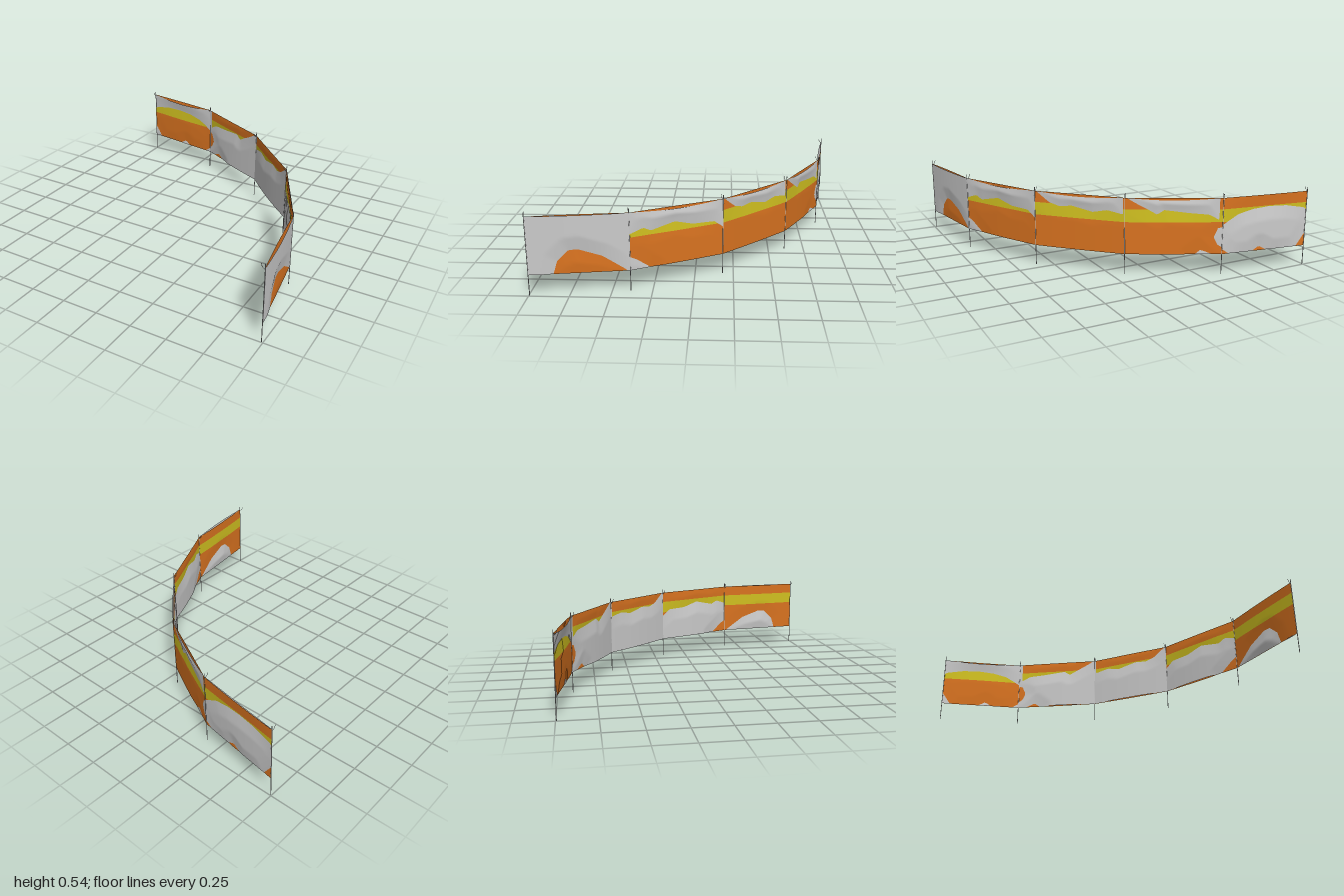
import * as THREE from 'three';

// Post positions (x, z) along the curve
const POSTS = [[-0.995, -0.995], [-0.395, -0.9], [0.165, -0.615], [0.605, -0.18], [0.895, 0.385], [0.99, 0.995]];
const BOTTOM = 0.135, TOP = 0.51, BAND_LOW = 0.35, BAND_HIGH = 0.435;

// Per panel: outlines (u along the panel, y) where the grey sheet billows to the outer side
const BILLOWS = [
  [[[-.05, .27], [-.05, .36], [.03, .40], [.25, .425], [.46, .43], [.65, .42], [.82, .395], [.92, .36],
    [1.05, .31], [1.05, .19], [.92, .135], [.9, .12], [.68, .12], [.56, .165], [.43, .12], [.12, .12]]],
  [[[.04, .54], [.04, .365], [.14, .40], [.34, .41], [.6, .43], [.67, .40], [.98, .51], [.98, .54]],
    [[-.05, .33], [.05, .31], [.09, .25], [.05, .2], [-.05, .16]],
    [[.04, .12], [.22, .165], [.31, .12]]],
  [[[.02, .54], [.02, .4], [.19, .42], [.35, .4], [.58, .43], [.72, .42], [.83, .44], [.98, .51], [.98, .54]]],
  [[[-.05, .54], [-.05, .3], [.1, .37], [.33, .375], [.53, .41], [.78, .375], [.86, .4], [1.05, .36], [1.05, .54]],
    [[1.05, .24], [.93, .2], [.76, .12], [1.05, .12]]],
  [[[-.1, .05], [1.1, .05], [1.1, .6], [-.1, .6]],
    [[.02, .12], [.03, .14], [.27, .24], [.51, .29], [.6, .285], [.71, .22], [.76, .12]]],
];

// Signed distance to the outlines, positive inside (even-odd rule)
function insideDistance(polys, u, y, len) {
  let inside = false, best = Infinity;
  for (const poly of polys) {
    poly.forEach(([au, ay], k) => {
      const [bu, by] = poly[(k + 1) % poly.length];
      if ((ay > y) !== (by > y) && u < au + (bu - au) * (y - ay) / (by - ay)) inside = !inside;
      const ex = (bu - au) * len, ey = by - ay, px = (u - au) * len, py = y - ay;
      const t = THREE.MathUtils.clamp((px * ex + py * ey) / (ex * ex + ey * ey), 0, 1);
      best = Math.min(best, Math.hypot(px - t * ex, py - t * ey));
    });
  }
  return inside ? best : -best;
}

// A cloth strip of panel i between two heights; side sets how it follows the billow
function clothStrip(i, y0, y1, rows, side, sag) {
  const [ax, az] = POSTS[i], [bx, bz] = POSTS[i + 1];
  const dx = bx - ax, dz = bz - az, len = Math.hypot(dx, dz);
  const geo = new THREE.PlaneGeometry(1, 1, 40, rows);
  const pos = geo.attributes.position;
  for (let k = 0; k < pos.count; k++) {
    const u = pos.getX(k) + 0.5, y = y0 + (pos.getY(k) + 0.5) * (y1 - y0);
    const arch = Math.sin(Math.PI * u);
    const d = THREE.MathUtils.clamp(insideDistance(BILLOWS[i], u, y, len) * 0.16, -0.014, 0.014);
    const off = side * d * (0.15 + 0.85 * arch);
    const drop = sag * arch * Math.max(0, (y - BAND_HIGH) / (TOP - BAND_HIGH));
    pos.setXYZ(k, ax + dx * u + off * dz / len, y - drop, az + dz * u - off * dx / len);
  }
  geo.computeVertexNormals();
  return geo;
}

export function createModel() {
  const group = new THREE.Group();
  const cloth = (color) => new THREE.MeshStandardMaterial({ color, side: THREE.DoubleSide });
  const grey = cloth(0xcccccc), orange = cloth(0xd97320), yellow = cloth(0xd0c020);
  const metal = new THREE.MeshStandardMaterial({ color: 0xcccccc });
  const add = (parent, name, geo, mat) => {
    const mesh = new THREE.Mesh(geo, mat);
    mesh.name = name;
    parent.add(mesh);
    return mesh;
  };

  // Fence panels: a striped sheet interwoven with a grey backing sheet
  for (let i = 0; i < POSTS.length - 1; i++) {
    const panel = new THREE.Group();
    panel.name = `panel${i + 1}`;
    add(panel, 'lowerStripe', clothStrip(i, BOTTOM, BAND_LOW, 16, -0.4, 0), orange);
    add(panel, 'middleStripe', clothStrip(i, BAND_LOW, BAND_HIGH, 8, -0.4, 0), yellow);
    add(panel, 'upperStripe', clothStrip(i, BAND_HIGH, TOP, 6, -0.4, 0), orange);
    add(panel, 'backingSheet', clothStrip(i, BOTTOM, TOP, 30, 1, i < 4 ? 0.016 : 0), grey);
    group.add(panel);
  }

  // Thin posts, each with a small hook pointing to the inner side
  const hookCurve = new THREE.CatmullRomCurve3([
    [0, 0.5], [0.01, 0.506], [0.019, 0.518], [0.024, 0.535],
  ].map(([x, y]) => new THREE.Vector3(x, y, 0)));
  const hookGeo = new THREE.TubeGeometry(hookCurve, 8, 0.0015, 6);
  const postGeo = new THREE.CylinderGeometry(0.0025, 0.0025, 0.535, 8).translate(0, 0.2675, 0);
  POSTS.forEach(([x, z], i) => {
    const a = POSTS[Math.max(i - 1, 0)], b = POSTS[Math.min(i + 1, POSTS.length - 1)];
    const post = new THREE.Group();
    post.name = `post${i + 1}`;
    add(post, 'rod', postGeo, metal);
    add(post, 'hook', hookGeo, metal);
    post.position.set(x, 0, z);
    // inner direction is (-dz, dx)
    post.rotation.y = Math.atan2(-(b[0] - a[0]), -(b[1] - a[1]));
    group.add(post);
  });
  return group;
}
